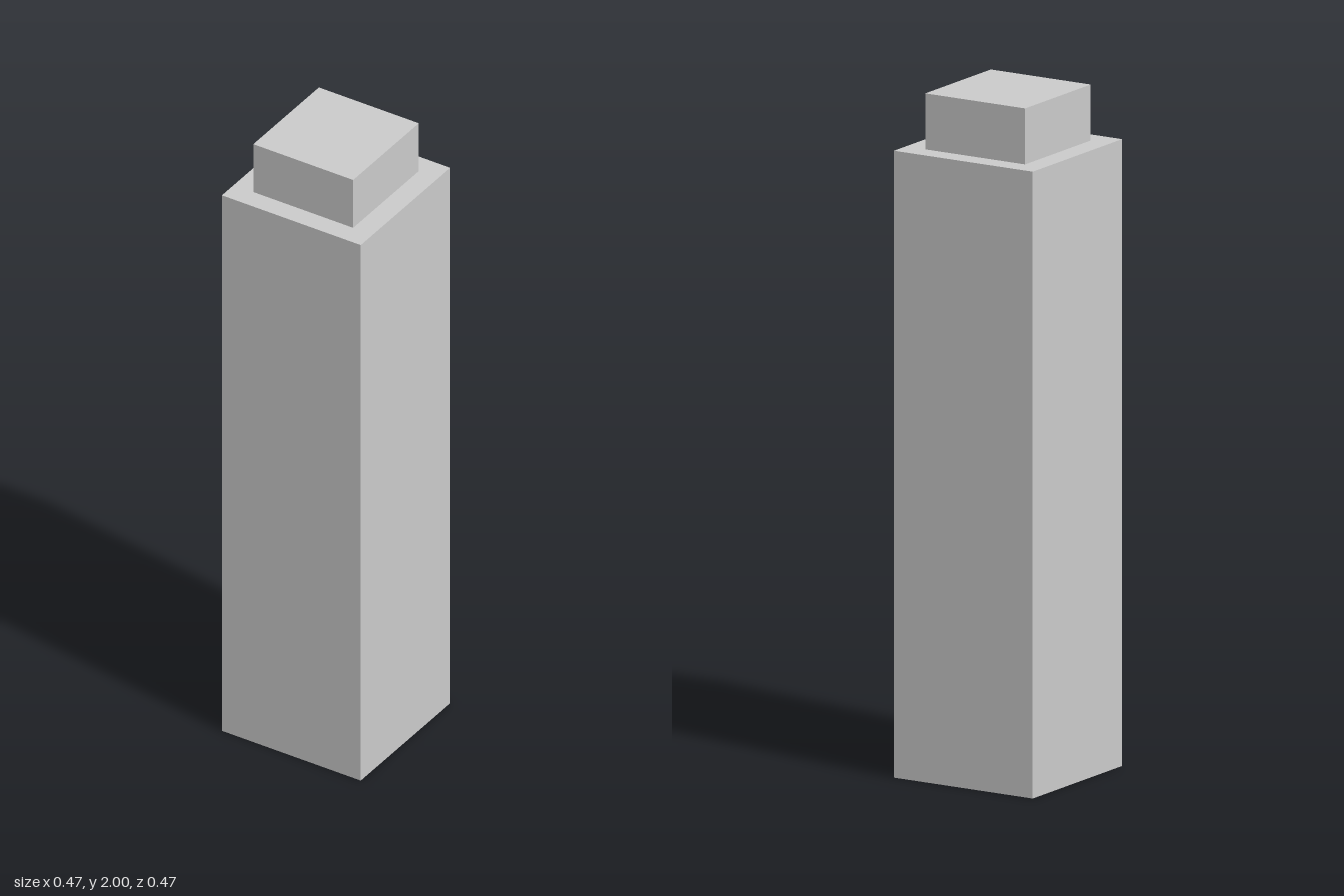
import * as THREE from 'three';

export function createModel() {
  const model = new THREE.Group();
  const material = new THREE.MeshStandardMaterial({ color: 0xcccccc, flatShading: true });

  // Box standing on the given height
  const addBlock = (name, width, height, depth, base) => {
    const mesh = new THREE.Mesh(new THREE.BoxGeometry(width, height, depth), material);
    mesh.name = name;
    mesh.position.y = base + height / 2;
    model.add(mesh);
  };

  const bodyHeight = 1.836;
  addBlock('body', 0.47, bodyHeight, 0.47, 0);                  // tall square column
  addBlock('cap', 0.338, 2 - bodyHeight, 0.345, bodyHeight);    // smaller block on top

  return model;
}
